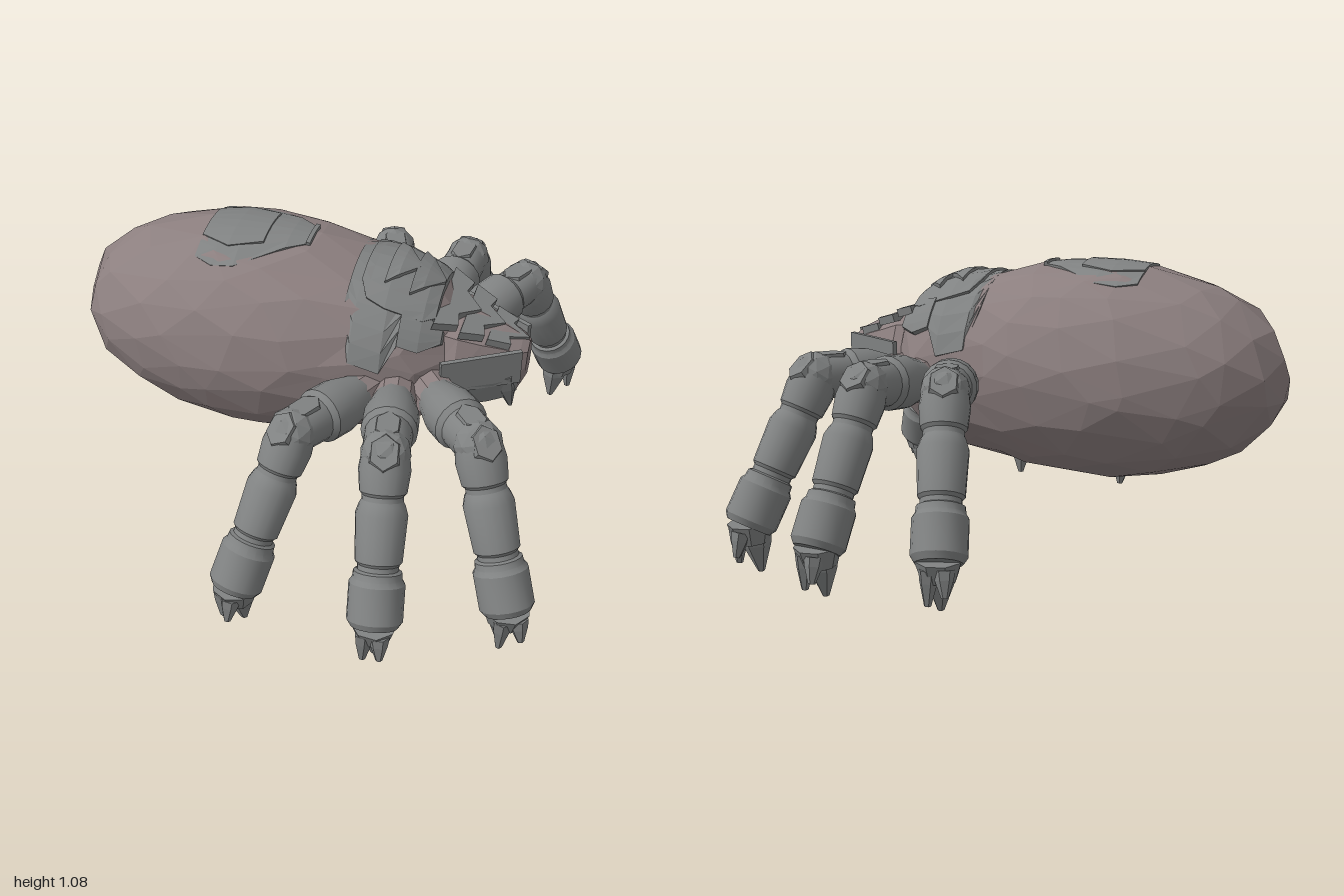
import * as THREE from 'three';
import { toCreasedNormals } from 'three/addons/utils/BufferGeometryUtils.js';

const DARK = 0x808282;
const grey = new THREE.MeshStandardMaterial({ color: DARK, flatShading: true, side: THREE.DoubleSide });
const smooth = new THREE.MeshStandardMaterial({ color: DARK });
const skin = new THREE.MeshStandardMaterial({ color: 0x8c7f7f, flatShading: true, side: THREE.DoubleSide });
const V = (x, y, z) => new THREE.Vector3(x, y, z);
const CY = 0.68, CZ = -0.015;

// body radius along x
const profile = [[-0.935, 0], [-0.925, 0.08], [-0.88, 0.17], [-0.8, 0.25], [-0.7, 0.305], [-0.55, 0.355], [-0.4, 0.387],
  [-0.25, 0.396], [-0.1, 0.39], [0, 0.374], [0.12, 0.336], [0.3, 0.316], [0.4, 0.274], [0.48, 0.22], [0.55, 0.12], [0.58, 0]];
function radiusAt(x) {
  for (let i = 1; i < profile.length; i++) {
    const [x0, r0] = profile[i - 1], [x1, r1] = profile[i];
    if (x <= x1) return r0 + (r1 - r0) * Math.max(0, (x - x0) / (x1 - x0));
  }
  return 0;
}

function add(parent, name, geometry, material = grey) {
  const mesh = new THREE.Mesh(geometry, material);
  mesh.name = name;
  parent.add(mesh);
  return mesh;
}

// surface through rows of points, each row having the same count
function loft(rows) {
  const n = rows[0].length, index = [];
  for (let i = 0; i < rows.length - 1; i++) for (let j = 0; j < n - 1; j++) {
    const a = i * n + j, c = a + n;
    index.push(a, a + 1, c, a + 1, c + 1, c);
  }
  const g = new THREE.BufferGeometry().setFromPoints(rows.flat());
  g.setIndex(index);
  g.computeVertexNormals();
  return g;
}

// armour plate hugging the body: stations of [x, half angle], with sunk edges
function plateGeometry(stations, lift, centre = 0, n = 6) {
  const row = ([x, half], sunk) => {
    const pts = [];
    for (let j = -1; j <= n + 1; j++) {
      const k = Math.min(n, Math.max(0, j));
      const a = centre + half * (2 * k / n - 1);
      const r = radiusAt(x) + (sunk || j < 0 || j > n ? -0.03 : lift);
      pts.push(V(x, CY + r * Math.cos(a), CZ + r * Math.sin(a)));
    }
    return pts;
  };
  const last = stations[stations.length - 1];
  return loft([row(stations[0], true), ...stations.map(s => row(s, false)), row(last, true)]);
}

// turned limb between two points: profile of [radius, fraction]
function limb(parent, name, from, to, rings, material = smooth, sides = 18) {
  const dir = to.clone().sub(from), len = dir.length();
  const g = new THREE.LatheGeometry(rings.map(([r, t]) => new THREE.Vector2(r, t * len)), sides);
  const mesh = add(parent, name, toCreasedNormals(g, 0.5), material);
  mesh.position.copy(from);
  mesh.quaternion.setFromUnitVectors(V(0, 1, 0), dir.normalize());
  return mesh;
}

function makeLeg(name, bx, bz, ax, az) {
  const leg = new THREE.Group();
  leg.name = name;
  const base = V(bx, 0.645, bz), ankle = V(ax, 0.19, az);
  const d = V(ax - bx, 0, az - bz).normalize(), s = V(-d.z, 0, d.x);
  const knee = V(bx + (ax - bx) * 0.54, 0.68, bz + (az - bz) * 0.54);

  limb(leg, 'hip', base.clone().addScaledVector(d, -0.12), base.clone().addScaledVector(d, 0.06),
    [[0, 0], [0.08, 0], [0.08, 1], [0, 1]], skin, 10);
  limb(leg, 'thigh', base, knee, [[0, 0], [0.07, 0], [0.078, 0.12], [0.097, 0.36],
    [0.097, 0.62], [0.082, 0.68], [0.08, 1], [0, 1]]);
  add(leg, 'kneeJoint', new THREE.IcosahedronGeometry(0.086, 1)).position.copy(knee);
  limb(leg, 'shin', knee, ankle, [[0, 0], [0.08, 0], [0.088, 0.1], [0.08, 0.23], [0.07, 0.25], [0.07, 0.28],
    [0.077, 0.3], [0.088, 0.36], [0.08, 0.64], [0.07, 0.66], [0.07, 0.69], [0.082, 0.7],
    [0.084, 0.74], [0.095, 0.77], [0.095, 0.99], [0.08, 1.03], [0, 1.03]]);

  // long plates above the knee and down its outer face
  const yaw = Math.atan2(-d.z, d.x);
  for (const [out, y, tilt, long, wide] of [[-0.055, 0.074, 0.04, 0.14, 0.085], [0.05, 0.05, -0.75, 0.12, 0.1]]) {
    const guard = add(leg, 'kneeGuard', new THREE.CylinderGeometry(0.5, 0.62, 0.035, 6).rotateY(Math.PI / 2).scale(long, 1, wide));
    guard.position.copy(knee).addScaledVector(d, out);
    guard.position.y += y - 0.015;
    guard.rotation.set(0, yaw, tilt, 'YXZ');
  }

  // foot block, main claw and two shorter outer claws
  const sole = ankle.clone().addScaledVector(d, -0.005).setY(0.12);
  limb(leg, 'foot', ankle, sole, [[0, 0], [0.082, 0], [0.06, 1], [0, 1]], grey, 8);
  for (const [out, lean, side, tip, r] of [[-0.015, -0.035, 0, 0.005, 0.06],
    [0.03, 0.03, 0.03, 0.04, 0.036], [0.045, 0.07, -0.02, 0.08, 0.036]]) {
    const top = V(ax, 0.165, az).addScaledVector(d, out).addScaledVector(s, side);
    const end = V(ax, tip, az).addScaledVector(d, lean).addScaledVector(s, side * 1.2);
    limb(leg, 'claw', top, end, [[0, 0], [r, 0], [r * 0.85, 0.35], [0.012, 1], [0, 1]], grey, 6);
  }
  return leg;
}

function makeHead() {
  const head = new THREE.Group();
  head.name = 'head';
  // stations of [x, bottom, top, half width]
  const rows = [[0.44, 0.5, 0.88, 0.2], [0.52, 0.51, 0.87, 0.21], [0.6, 0.5, 0.84, 0.17], [0.67, 0.53, 0.81, 0.13],
    [0.73, 0.56, 0.78, 0.095], [0.755, 0.62, 0.76, 0.06], [0.755, 0.68, 0.68, 0]].map(([x, lo, hi, w]) => {
    const pts = [];
    for (let j = 0; j <= 8; j++) {
      const a = j / 8 * Math.PI * 2;
      pts.push(V(x, (lo + hi) / 2 + (hi - lo) / 2 * Math.cos(a), CZ + w * Math.sin(a)));
    }
    return pts;
  });
  add(head, 'skull', loft(rows), skin);

  // stepped pointed brow plates
  for (const [x, y, w, len] of [[0.43, 0.885, 0.19, 0.14], [0.52, 0.845, 0.16, 0.14], [0.61, 0.8, 0.11, 0.14]]) {
    const shape = new THREE.Shape([[0, -w], [len * 0.6, -w * 0.75], [len * 0.5, -w * 0.4], [len, 0],
      [len * 0.5, w * 0.4], [len * 0.6, w * 0.75], [0, w]].map(p => new THREE.Vector2(...p)));
    const g = new THREE.ExtrudeGeometry(shape, { depth: 0.03, bevelEnabled: false }).rotateX(-Math.PI / 2);
    const brow = add(head, 'browPlate', g);
    brow.position.set(x, y - 0.015, CZ);
    brow.rotation.z = -0.28;
  }

  for (const side of [-1, 1]) {
    // cheek guard slanting in towards the face, with a jaw plate below it
    const cheek = add(head, 'cheekGuard', new THREE.BoxGeometry(0.3, 0.13, 0.018));
    cheek.position.set(0.61, 0.705, CZ + side * 0.16);
    cheek.rotation.y = side * 0.54;
    const jaw = add(head, 'jawPlate', loft([[0.56, 0.2, 0.18], [0.66, 0.145, 0.12], [0.74, 0.085, 0.06]].map(
      ([x, top, bottom]) => [V(x, 0.66, CZ + side * top), V(x - 0.02, 0.56, CZ + side * bottom)])));
    jaw.position.y = -0.005;
    limb(head, 'fang', V(0.68, 0.67, CZ + side * 0.085), V(0.71, 0.5, CZ + side * 0.045),
      [[0, 0], [0.045, 0], [0.038, 0.4], [0.008, 1], [0, 1]], grey, 6);
  }
  return head;
}

export function createModel() {
  const model = new THREE.Group();
  model.name = 'spider';

  // body: a ball with uneven facets, reshaped to the profile
  const body = new THREE.IcosahedronGeometry(1, 3), p = body.attributes.position;
  body.rotateX(0.3).rotateY(0.4);
  const wobble = (a, b, c) => 0.07 * Math.sin(a * 17.3 + b * 11.9 + c * 23.7);
  for (let i = 0; i < p.count; i++) {
    const v = V(p.getX(i), p.getY(i), p.getZ(i));
    v.set(v.x + wobble(v.x, v.y, v.z), v.y + wobble(v.y, v.z, v.x), v.z + wobble(v.z, v.x, v.y)).normalize();
    const x = -0.935 + (v.x + 1) / 2 * 1.515;
    const r = radiusAt(x) * 1.01, l = Math.hypot(v.y, v.z) || 1;
    p.setXYZ(i, x, CY + r * v.y / l, CZ + r * v.z / l);
  }
  body.computeVertexNormals();
  add(model, 'body', body, skin);

  // back armour
  add(model, 'abdomenPlate', plateGeometry([[-0.43, 0.5], [-0.36, 0.58], [-0.28, 0.56], [-0.12, 0.28], [-0.05, 0.16]], 0.003));
  add(model, 'abdomenCrest', plateGeometry([[-0.43, 0.25], [-0.32, 0.36], [-0.2, 0.26]], 0.008));
  add(model, 'abdomenTip', plateGeometry([[-0.055, 0.17], [-0.04, 0.17]], 0.012));
  add(model, 'shoulderBand', plateGeometry([[0.13, 0.8], [0.17, 1.3], [0.28, 1.38], [0.33, 1.05]], 0.01, 0, 12));
  add(model, 'shoulderPlate', plateGeometry([[0.17, 0.4], [0.2, 0.6], [0.27, 0.68], [0.4, 0.72], [0.44, 0.62]], 0.02));
  for (const [x, half] of [[0.25, 0.4], [0.34, 0.45]]) {
    add(model, 'spineChevron', plateGeometry([[x, half], [x + 0.04, half * 0.7], [x + 0.1, 0.03]], 0.03));
  }
  for (const side of [-1, 1]) {
    add(model, 'sidePlate', plateGeometry([[0.33, 0.2], [0.4, 0.25], [0.47, 0.1]], 0.018, side * 0.85, 4));
  }

  model.add(makeHead());

  // three legs on each side: hip x, hip z, ankle x, ankle z
  const legs = [
    ['leftRearLeg', 0.22, -0.3, 0.01, -0.9], ['leftMiddleLeg', 0.36, -0.3, 0.445, -0.915], ['leftFrontLeg', 0.49, -0.24, 0.8, -0.765],
    ['rightRearLeg', 0.22, 0.3, -0.06, 0.88], ['rightMiddleLeg', 0.34, 0.3, 0.44, 0.915], ['rightFrontLeg', 0.47, 0.24, 0.85, 0.725],
  ];
  for (const leg of legs) model.add(makeLeg(...leg));
  return model;
}
